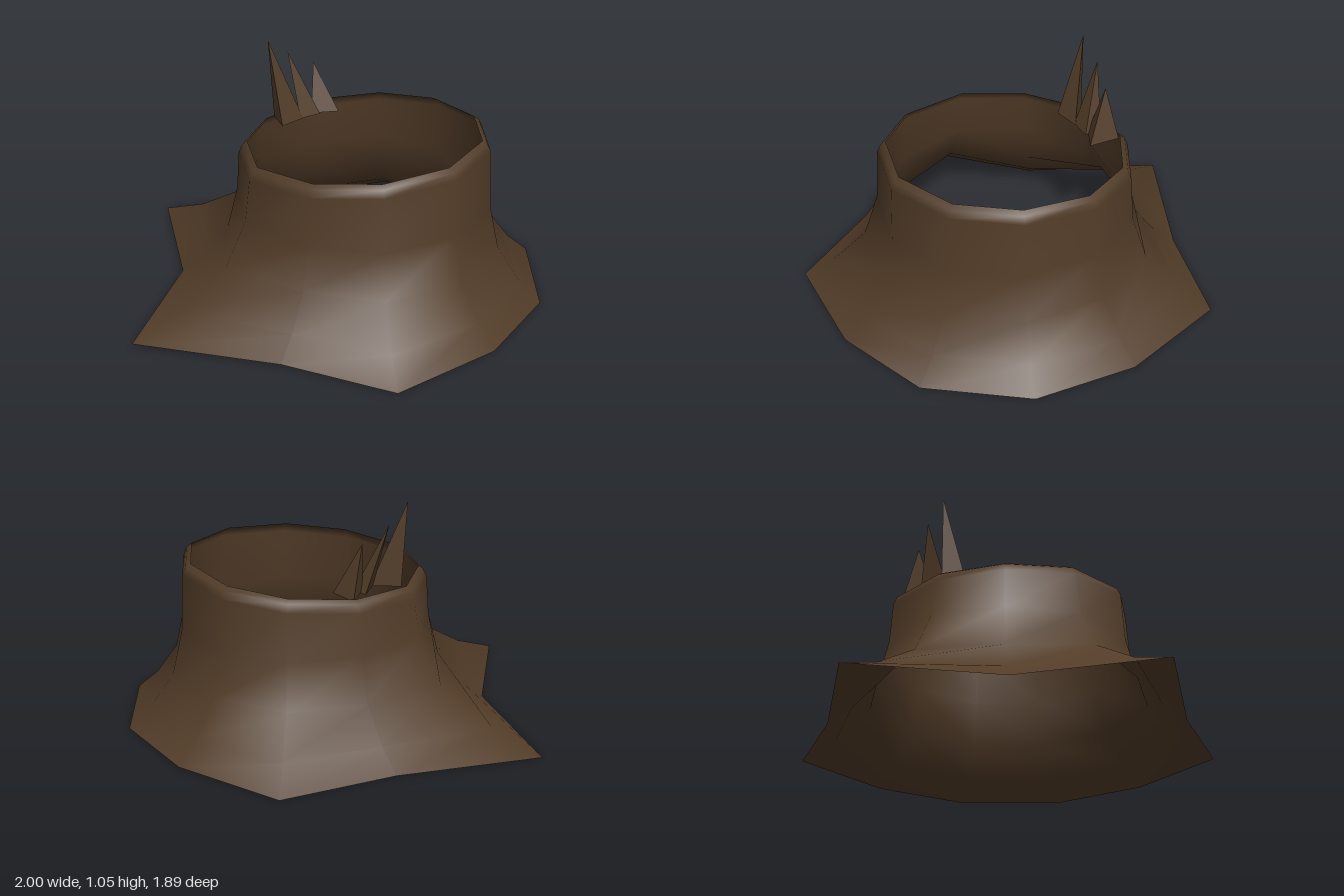
import * as THREE from 'three';

const wood = new THREE.MeshStandardMaterial({ color: 0x523c28, side: THREE.DoubleSide });
wood.name = 'dark wood';

// Ground outline of the roots [x, y, z] and matching rim outline [x, z]
const rootRing = [
  [-0.08, 0, -0.95], [0.43, 0, -0.82], [0.81, 0, -0.55], [1, 0, -0.1],
  [0.92, 0, 0.35], [0.65, 0, 0.79], [0.14, 0.01, 0.81], [-0.5, 0.02, 0.94],
  [-0.61, 0.01, 0.31], [-1, 0, -0.22], [-0.46, 0, -0.59],
];
const rimRing = [
  [0.04, -0.53], [0.32, -0.52], [0.57, -0.35], [0.69, -0.09], [0.64, 0.21], [0.43, 0.43],
  [0.15, 0.5], [-0.15, 0.41], [-0.32, 0.17], [-0.35, -0.12], [-0.21, -0.39],
];

// Hollow trunk: rings flare from the rim down into the roots
function trunkGeometry() {
  const n = rootRing.length;
  const centre = [0.17, -0.015];
  const rimHeight = (x) => 0.698 + 0.08 * x;
  // [height, share of the way out from trunk wall to root outline]
  const flare = [[0, 1], [0.09, 0.62], [0.24, 0.22], [0.44, 0.045]];
  const wall = rimRing.map(([x, z]) => {
    const dx = x - centre[0], dz = z - centre[1], k = 1 + 0.04 / Math.hypot(dx, dz);
    return [centre[0] + dx * k, centre[1] + dz * k];
  });
  const points = [];
  for (const [y, out] of flare) {
    rootRing.forEach(([x, y0, z], i) => {
      const [wx, wz] = wall[i];
      points.push(wx + (x - wx) * out, y + y0 * out, wz + (z - wz) * out);
    });
  }
  wall.forEach(([x, z]) => points.push(x, rimHeight(x) - 0.05, z));
  // Rounded lip
  rimRing.forEach(([x, z], i) => points.push(
    x * 0.4 + wall[i][0] * 0.6, rimHeight(x) - 0.016, z * 0.4 + wall[i][1] * 0.6));
  rimRing.forEach(([x, z]) => points.push(x, rimHeight(x), z));

  const index = [];
  const rings = points.length / 3 / n;
  for (let j = 0; j < rings - 1; j++) {
    for (let i = 0; i < n; i++) {
      const a = j * n + i, b = j * n + (i + 1) % n;
      index.push(b, a, a + n, b, a + n, b + n);
    }
  }
  const geometry = new THREE.BufferGeometry();
  geometry.setAttribute('position', new THREE.Float32BufferAttribute(points, 3));
  geometry.setIndex(index);
  geometry.computeVertexNormals();
  return geometry;
}

// Three-sided splinter from a base triangle [x, z] to a tip [x, y, z]
function splinterGeometry(base, tip) {
  const points = [];
  base.forEach(([x, z], i) => {
    const [x2, z2] = base[(i + 1) % 3];
    points.push(x2, 0.67, z2, x, 0.67, z, ...tip);
  });
  const geometry = new THREE.BufferGeometry();
  geometry.setAttribute('position', new THREE.Float32BufferAttribute(points, 3));
  geometry.computeVertexNormals();
  return geometry;
}

export function createModel() {
  const group = new THREE.Group();
  group.name = 'treeStump';

  const trunk = new THREE.Mesh(trunkGeometry(), wood);
  trunk.name = 'hollowTrunk';
  group.add(trunk);

  const splinters = [
    [[[-0.33, -0.13], [-0.2, -0.17], [-0.25, -0.05]], [-0.35, 1.05, -0.12]],
    [[[-0.22, -0.29], [-0.15, -0.25], [-0.21, -0.16]], [-0.3, 0.97, -0.22]],
    [[[-0.2, -0.39], [-0.08, -0.31], [-0.19, -0.24]], [-0.21, 0.9, -0.31]],
  ];
  splinters.forEach(([base, tip], i) => {
    const splinter = new THREE.Mesh(splinterGeometry(base, tip), wood);
    splinter.name = `splinter${i + 1}`;
    group.add(splinter);
  });
  return group;
}
